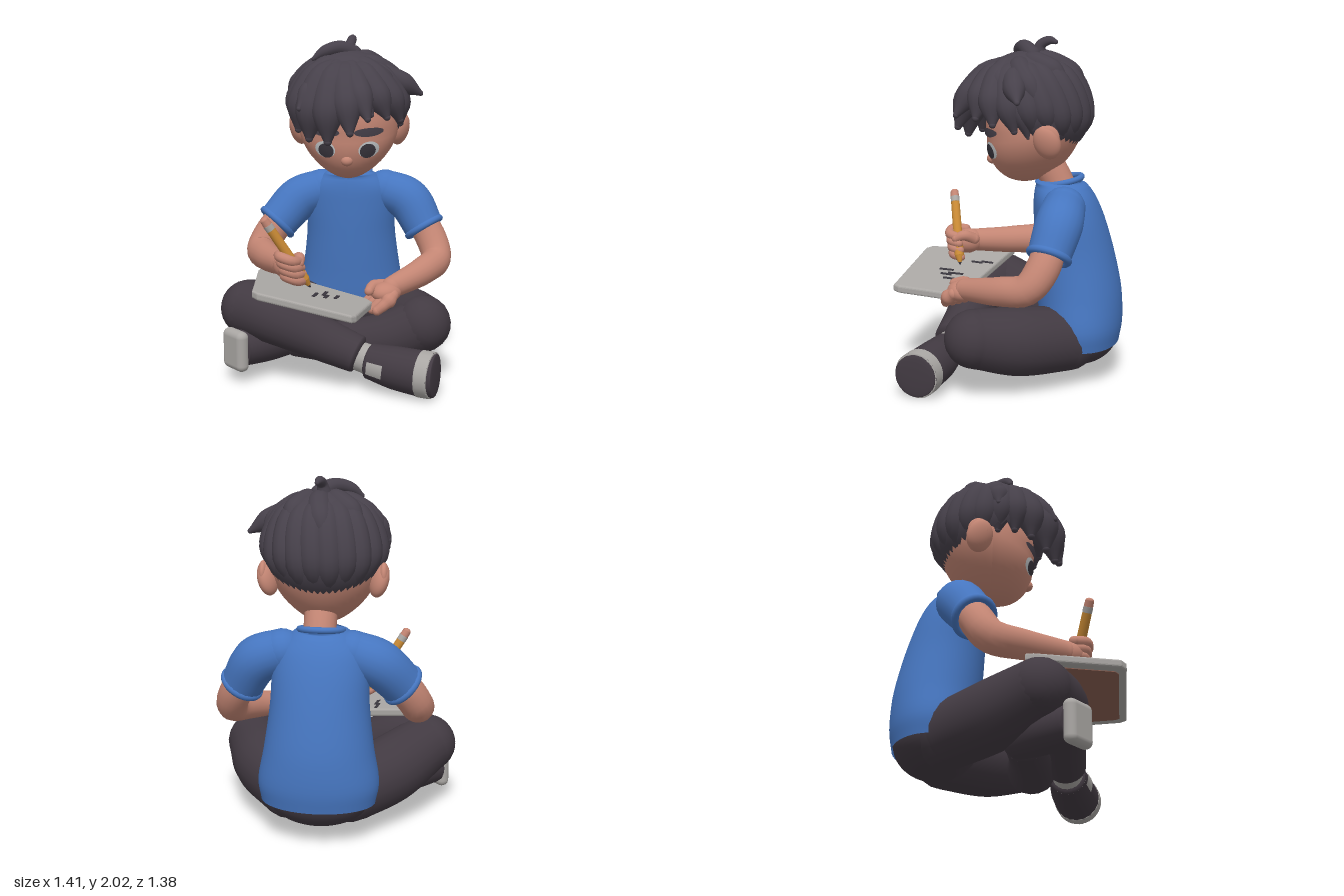
import * as THREE from 'three';
import { mergeGeometries, mergeVertices } from 'three/addons/utils/BufferGeometryUtils.js';
import { RoundedBoxGeometry } from 'three/addons/geometries/RoundedBoxGeometry.js';

const mat = (name, color) => Object.assign(new THREE.MeshStandardMaterial({ color, side: THREE.DoubleSide }), { name });
const skin = mat('skin', 0xc48674), hairMat = mat('hair', 0x47414b), pants = mat('trousers', 0x423a42);
const shirt = mat('shirt', 0x4676c0), grey = mat('light grey', 0xaaa7a4), dark = mat('dark ink', 0x3a363e);
const orange = mat('pencil wood', 0xc98a35), white = mat('eye white', 0xc3c7c9), brown = mat('board back', 0x8a5f52);
const V = (x, y, z) => new THREE.Vector3(x, y, z);

function add(parent, name, geometry, material) {
  const m = new THREE.Mesh(geometry, material);
  m.name = name;
  parent.add(m);
  return m;
}

function ball(parent, name, material, [x, y, z], [a, b, c], yaw = 0) {
  const m = add(parent, name, new THREE.SphereGeometry(1, 32, 24), material);
  m.position.set(x, y, z);
  m.scale.set(a, b, c);
  m.rotation.y = yaw;
  return m;
}

// Tapered tube through [x, y, z, radius] points; caps are spheres flattened by startCap and endCap
function limb(parent, name, material, pts, startCap = 1, endCap = 1, N = 24, sides = 20) {
  const curve = new THREE.CatmullRomCurve3(pts.map(p => V(p[0], p[1], p[2])));
  const radii = new THREE.CatmullRomCurve3(pts.map(p => V(p[3], 0, 0)));
  const tube = new THREE.TubeGeometry(curve, N, 1, sides);
  const pos = tube.attributes.position, nor = tube.attributes.normal;
  for (let i = 0; i <= N; i++) {
    const c = curve.getPointAt(i / N), r = radii.getPoint(curve.getUtoTmapping(i / N)).x;
    for (let j = 0; j <= sides; j++) {
      const k = i * (sides + 1) + j;
      pos.setXYZ(k, c.x + nor.getX(k) * r, c.y + nor.getY(k) * r, c.z + nor.getZ(k) * r);
    }
  }
  tube.deleteAttribute('uv');
  tube.deleteAttribute('normal');
  const body = mergeVertices(tube, 1e-5);
  body.computeVertexNormals();
  const cap = (u, k, r) => {
    const s = new THREE.SphereGeometry(1, sides, 12);
    s.deleteAttribute('uv');
    s.scale(r, r * k, r);
    s.applyQuaternion(new THREE.Quaternion().setFromUnitVectors(V(0, 1, 0), curve.getTangentAt(u)));
    const p = curve.getPointAt(u);
    return s.translate(p.x, p.y, p.z);
  };
  const geo = mergeGeometries([body, cap(0, startCap, pts[0][3]), cap(1, endCap, pts[pts.length - 1][3])]);
  return add(parent, name, geo, material);
}

// Flat slab lying in the tilted plane of the drawing board, outlined in x and z
function slab(parent, name, material, outline, lift, depth, bevel = 0) {
  const shape = new THREE.Shape(outline.map(p => new THREE.Vector2(p[0], p[1])));
  const g = new THREE.ExtrudeGeometry(shape, { depth, bevelEnabled: bevel > 0, bevelSize: bevel, bevelThickness: bevel, bevelSegments: 3 });
  g.rotateX(Math.PI / 2);
  const p = g.attributes.position;
  for (let i = 0; i < p.count; i++)
    p.setY(i, p.getY(i) + 0.635 + lift - 0.1045 * p.getX(i) + 0.136 * (p.getZ(i) - 0.69));
  g.computeVertexNormals();
  return add(parent, name, g, material);
}

// Front surface of the face, shared by the head and its painted details
const jaw = y => Math.max(0, -y / 0.31);
function faceZ(x, y) {
  const t = jaw(y), x0 = x / (1 - 0.25 * t * t);
  return 0.29 * Math.sqrt(Math.max(0, 1 - (x0 / 0.3) ** 2 - (y / 0.31) ** 2)) + 0.08 * t;
}
function decal(parent, name, material, x, y, rx, ry, lift, tilt = 0) {
  const g = new THREE.RingGeometry(0, 1, 28, 4);
  g.scale(rx, ry, 1).rotateZ(tilt).translate(x, y, 0);
  const p = g.attributes.position;
  for (let i = 0; i < p.count; i++) p.setZ(i, faceZ(p.getX(i), p.getY(i)) + lift);
  g.computeVertexNormals();
  add(parent, name, g, material);
}

function buildHead() {
  const head = new THREE.Group();
  head.name = 'head';
  head.position.set(-0.19, 1.5, -0.16);
  head.rotation.set(0.2, 0.84, 0, 'YXZ');

  const g = new THREE.SphereGeometry(1, 40, 32).scale(0.3, 0.31, 0.29);
  const p = g.attributes.position;
  for (let i = 0; i < p.count; i++) {
    const t = jaw(p.getY(i));
    p.setX(i, p.getX(i) * (1 - 0.25 * t * t));
    p.setZ(i, p.getZ(i) + 0.08 * t);
  }
  g.computeVertexNormals();
  add(head, 'face', g, skin);
  ball(head, 'nose', skin, [0, -0.14, 0.285], [0.036, 0.032, 0.034]);
  for (const s of [-1, 1]) {
    decal(head, 'eyeWhite', white, s * 0.128, -0.075, 0.06, 0.05, 0.004);
    decal(head, 'pupil', dark, s * 0.122, -0.08, 0.046, 0.044, 0.008);
    decal(head, 'eyebrow', hairMat, s * 0.128, 0.03, 0.086, 0.026, 0.009, s * -0.05);
    const ear = ball(head, 'ear', skin, [s * 0.31, -0.062, -0.065], [0.05, 0.1, 0.08]);
    ear.rotation.set(0, s * -0.4, s * -0.2);
    ball(head, 'earRim', skin, [s * 0.335, -0.035, -0.08], [0.028, 0.07, 0.062]);
  }

  // Hair cap: sphere whose lower edge drops from the forehead to the nape
  const hair = new THREE.Group();
  hair.name = 'hair';
  hair.position.set(0, 0.08, 0.02);
  head.add(hair);
  const edge = az => 1.74 - 0.6 * Math.cos(az);
  const dir = (az, th, r) => [Math.sin(th) * Math.sin(az) * r, Math.cos(th) * r, Math.sin(th) * Math.cos(az) * r];
  const cap = new THREE.SphereGeometry(1, 48, 24), cp = cap.attributes.position, uv = cap.attributes.uv;
  for (let i = 0; i < cp.count; i++) {
    const v = 1 - uv.getY(i), az = uv.getX(i) * Math.PI * 2;
    cp.setXYZ(i, ...dir(az, v * edge(az), 0.362 * (1 - 0.1 * v ** 6)));
  }
  cap.computeVertexNormals();
  add(hair, 'hairCap', cap, hairMat);

  // A lock sweeps from the crown down to polar angle end, lifting off by flare
  const lock = (az, end, flare, w, start = 0.25, R = 0.305, twist = 0.15) => {
    const pts = [0, 0.35, 0.7, 1].map((s, i) => [...dir(az + twist * (s - 0.6), start + (end - start) * s,
      R + flare * s * s), w * [0.5, 0.92, 0.9, 0.22][i]]);
    limb(hair, 'hairLock', hairMat, pts, 1, 1, 18, 14);
  };
  for (let i = 0; i < 12; i++) {
    const az = 1.6 + i * (Math.PI * 2 - 3.2) / 11;
    lock(az, edge(az) + (i % 2 ? 0.04 : 0.1), -0.005, 0.085);
  }
  for (let i = 0; i < 9; i++) lock(0.3 + i * Math.PI * 2 / 9, i % 2 ? 1.1 : 1.35, 0.04, 0.078, 0.1, 0.305, 0.35);
  // Heavy fringe, parted over the left eye
  for (const [az, end, flare, w] of [[-1.3, 1.7, 0.02, 0.09], [-1.0, 1.7, 0.05, 0.1], [-0.66, 1.74, 0.08, 0.108],
    [-0.32, 1.72, 0.1, 0.108], [0.0, 1.56, 0.12, 0.1], [0.24, 1.38, 0.13, 0.085], [0.62, 1.42, 0.07, 0.092],
    [0.95, 1.54, 0.06, 0.092], [1.25, 1.72, 0.02, 0.085], [1.46, 1.9, 0, 0.06]]) lock(az, end, flare, w);
  // Wayward side tufts
  for (const [az, end, flare] of [[1.45, 1.3, 0.14], [-0.75, 1.3, 0.13], [-1.7, 1.35, 0.06]])
    lock(az, end, flare, 0.072, 0.5);
  // Cowlick and small curl at the crown
  limb(hair, 'cowlick', hairMat, [[0.03, 0.33, -0.08, 0.05], [-0.05, 0.375, -0.04, 0.043], [-0.14, 0.362, 0, 0.035], [-0.2, 0.325, 0.02, 0.014]], 1, 1, 18, 12);
  limb(hair, 'crownCurl', hairMat, [[0, 0.32, -0.11, 0.045], [0.01, 0.375, -0.14, 0.03], [0.02, 0.39, -0.19, 0.026], [0.03, 0.375, -0.225, 0.014]], 1, 1, 18, 12);
  return head;
}

function buildTorso(root) {
  const torso = new THREE.Group();
  torso.name = 'torso';
  torso.rotation.y = Math.PI / 4;
  root.add(torso);
  // Rows: height, half width, half depth, forward offset
  const rows = [[0.23, 0.325, 0.225, -0.53], [0.34, 0.342, 0.245, -0.527], [0.53, 0.31, 0.25, -0.515], [0.78, 0.278, 0.232, -0.48],
    [0.98, 0.268, 0.205, -0.445], [1.09, 0.24, 0.18, -0.42], [1.165, 0.165, 0.145, -0.40], [1.19, 0.12, 0.12, -0.40]];
  const size = new THREE.CatmullRomCurve3(rows.map(r => V(r[1], r[0], r[2])));
  const shift = new THREE.CatmullRomCurve3(rows.map(r => V(r[3], 0, 0)));
  const g = new THREE.CylinderGeometry(1, 1, 1, 48, 32, true), p = g.attributes.position;
  for (let i = 0; i < p.count; i++) {
    const t = p.getY(i) + 0.5, s = size.getPoint(t);
    p.setXYZ(i, p.getX(i) * s.x - 0.028, s.y, p.getZ(i) * s.z + shift.getPoint(t).x);
  }
  g.computeVertexNormals();
  add(torso, 'shirtBody', g, shirt);
  const collar = add(torso, 'collar', new THREE.TorusGeometry(0.12, 0.018, 12, 36), shirt);
  collar.position.set(-0.025, 1.182, -0.4);
  collar.rotation.x = Math.PI / 2 + 0.2;
  ball(torso, 'seat', pants, [-0.03, 0.27, -0.51], [0.31, 0.19, 0.24]);
  limb(root, 'neck', skin, [[-0.3, 1.1, -0.28, 0.1], [-0.27, 1.2, -0.25, 0.092], [-0.22, 1.32, -0.2, 0.095]]);
}

// Short sleeve with a rolled hem, and the bare arm below it
function buildArm(root, side, sleeve, arm) {
  limb(root, side + 'Sleeve', shirt, sleeve, 1, 0.12);
  const [b, a] = sleeve.slice(-2).map(q => V(q[0], q[1], q[2]));
  const hem = add(root, side + 'SleeveHem', new THREE.TorusGeometry(sleeve.at(-1)[3] - 0.012, 0.022, 12, 32), shirt);
  hem.position.copy(a);
  hem.quaternion.setFromUnitVectors(V(0, 0, 1), a.clone().sub(b).normalize());
  limb(root, side + 'Arm', skin, arm);
}

function buildHands(root) {
  // Right hand curled round the pencil
  ball(root, 'rightPalm', skin, [-0.1, 0.72, 0.385], [0.095, 0.075, 0.075], -0.3);
  for (let i = 0; i < 4; i++) {
    const y = 0.785 - i * 0.04, d = i * 0.012;
    limb(root, 'rightFinger', skin, [[-0.11, y, 0.43 - d, 0.03], [-0.04, y + 0.005, 0.465 - d, 0.031],
      [0.015, y - 0.015, 0.425 - d, 0.03], [0.0, y - 0.025, 0.365 - d, 0.026]], 1, 1, 14, 12);
  }
  limb(root, 'rightThumb', skin, [[-0.1, 0.74, 0.33, 0.035], [-0.03, 0.77, 0.34, 0.032], [0.01, 0.75, 0.37, 0.026]], 1, 1, 14, 12);
  // Left hand holding the board's edge
  ball(root, 'leftPalm', skin, [0.275, 0.56, -0.06], [0.08, 0.06, 0.095]);
  for (let i = 0; i < 4; i++) {
    const x = 0.335 - i * 0.045;
    limb(root, 'leftFinger', skin, [[x, 0.555, -0.06, 0.034], [x + 0.005, 0.515, 0.0, 0.034], [x - 0.02, 0.475, 0.045, 0.028]], 1, 1, 14, 12);
  }
  limb(root, 'leftThumb', skin, [[0.23, 0.59, -0.08, 0.036], [0.22, 0.595, -0.01, 0.034], [0.25, 0.58, 0.05, 0.028]], 1, 1, 14, 12);
}

function buildLegs(root) {
  limb(root, 'rightThigh', pants, [[-0.46, 0.27, -0.18, 0.19], [-0.45, 0.31, 0.1, 0.195], [-0.42, 0.4, 0.43, 0.17]]);
  limb(root, 'rightShin', pants, [[-0.42, 0.4, 0.43, 0.17], [-0.2, 0.38, 0.38, 0.165], [0.05, 0.27, 0.22, 0.13], [0.22, 0.205, 0.115, 0.112]], 1, 0.25);
  limb(root, 'leftThigh', pants, [[-0.22, 0.27, -0.42, 0.19], [0.08, 0.3, -0.37, 0.2], [0.35, 0.345, -0.28, 0.17]]);
  limb(root, 'leftShin', pants, [[0.35, 0.34, -0.28, 0.165], [0.2, 0.25, -0.12, 0.155], [-0.03, 0.205, 0.06, 0.125], [-0.26, 0.2, 0.2, 0.11]], 1, 0.5);
  // Right shoe, pointing outward
  limb(root, 'rightSock', grey, [[0.2, 0.2, 0.12, 0.085], [0.31, 0.17, 0.06, 0.09]]);
  limb(root, 'rightShoe', pants, [[0.29, 0.17, 0.07, 0.105], [0.42, 0.15, 0.0, 0.125], [0.57, 0.137, -0.075, 0.133]], 0.3, 0.1);
  limb(root, 'rightShoeBand', grey, [[0.565, 0.137, -0.072, 0.136], [0.63, 0.135, -0.105, 0.135]], 0.1, 0.05, 4);
  limb(root, 'rightShoeSole', pants, [[0.62, 0.135, -0.1, 0.127], [0.641, 0.135, -0.113, 0.125]], 0.1, 0.08, 4);
  const patch = add(root, 'shoePatch', new THREE.CylinderGeometry(0.127, 0.115, 0.1, 12, 1, true, 0.2, 0.68), grey);
  patch.position.set(0.345, 0.162, 0.04);
  patch.quaternion.setFromUnitVectors(V(0, 1, 0), V(0.87, -0.12, -0.47).normalize());
  // Left shoe, toe to the front
  limb(root, 'leftShoe', pants, [[-0.31, 0.2, 0.2, 0.105], [-0.32, 0.205, 0.38, 0.122], [-0.32, 0.2, 0.57, 0.11]], 0.8, 0.1);
  const toe = add(root, 'leftShoeToe', new RoundedBoxGeometry(0.195, 0.245, 0.08, 4, 0.039), grey);
  toe.position.set(-0.32, 0.197, 0.598);
}

function buildBoard(root) {
  const outline = [[-0.41, 0.34], [-0.39, 0.365], [-0.02, 0.67], [0.02, 0.67], [0.46, 0.36], [0.455, 0.33], [0.26, 0.05], [0.2, 0.04]];
  slab(root, 'drawingBoard', grey, outline, -0.012, 0.022, 0.012);
  slab(root, 'boardBack', brown, outline.map(([x, z]) => [0.04 + (x - 0.04) * 0.88, 0.35 + (z - 0.35) * 0.88]), -0.047, 0.004);
  // Pencil strokes on the page
  for (const [x, z, l] of [[-0.16, 0.27, 0.022], [-0.11, 0.31, 0.02], [0.09, 0.26, 0.03], [0.1, 0.34, 0.028], [0.14, 0.29, 0.02], [0.16, 0.23, 0.022]]) {
    const w = 0.013;
    slab(root, 'pencilStroke', dark, [[x - l, z - l * 0.8 - w], [x - l + w, z - l * 0.8 - w * 2], [x + l + w, z + l * 0.8], [x + l, z + l * 0.8 + w]], 0.004, 0.005);
  }
}

function buildPencil(root) {
  const top = V(-0.1, 1.005, 0.535), tip = V(0.025, 0.6, 0.305);
  const part = (name, m, a, b, ra, rb, k = 0.1) => {
    const [p, q] = [a, b].map(t => top.clone().lerp(tip, t));
    limb(root, name, m, [[p.x, p.y, p.z, ra], [q.x, q.y, q.z, rb]], k, 0.1, 4, 16);
  };
  part('eraser', skin, 0, 0.07, 0.025, 0.027, 0.7);
  part('ferrule', grey, 0.07, 0.14, 0.028, 0.028);
  part('pencilBody', orange, 0.14, 0.88, 0.027, 0.029);
  part('pencilPoint', orange, 0.88, 0.97, 0.029, 0.01);
  part('pencilLead', dark, 0.97, 1, 0.01, 0.004);
}

export function createModel() {
  const root = new THREE.Group();
  root.name = 'seatedBoyDrawing';
  root.add(buildHead());
  buildTorso(root);
  buildArm(root, 'right', [[-0.44, 1.06, -0.15, 0.125], [-0.53, 1.0, -0.04, 0.135], [-0.575, 0.86, 0.1, 0.125]],
    [[-0.53, 0.95, 0.02, 0.09], [-0.58, 0.82, 0.13, 0.098], [-0.57, 0.71, 0.22, 0.095], [-0.4, 0.7, 0.3, 0.085], [-0.14, 0.72, 0.38, 0.068]]);
  buildArm(root, 'left', [[-0.17, 1.06, -0.44, 0.125], [-0.06, 1.0, -0.53, 0.135], [0.045, 0.84, -0.57, 0.122]],
    [[0.0, 0.93, -0.54, 0.09], [0.09, 0.79, -0.58, 0.096], [0.18, 0.67, -0.55, 0.09], [0.235, 0.63, -0.4, 0.085], [0.275, 0.58, -0.1, 0.064]]);
  buildHands(root);
  buildLegs(root);
  buildBoard(root);
  buildPencil(root);
  return root;
}
